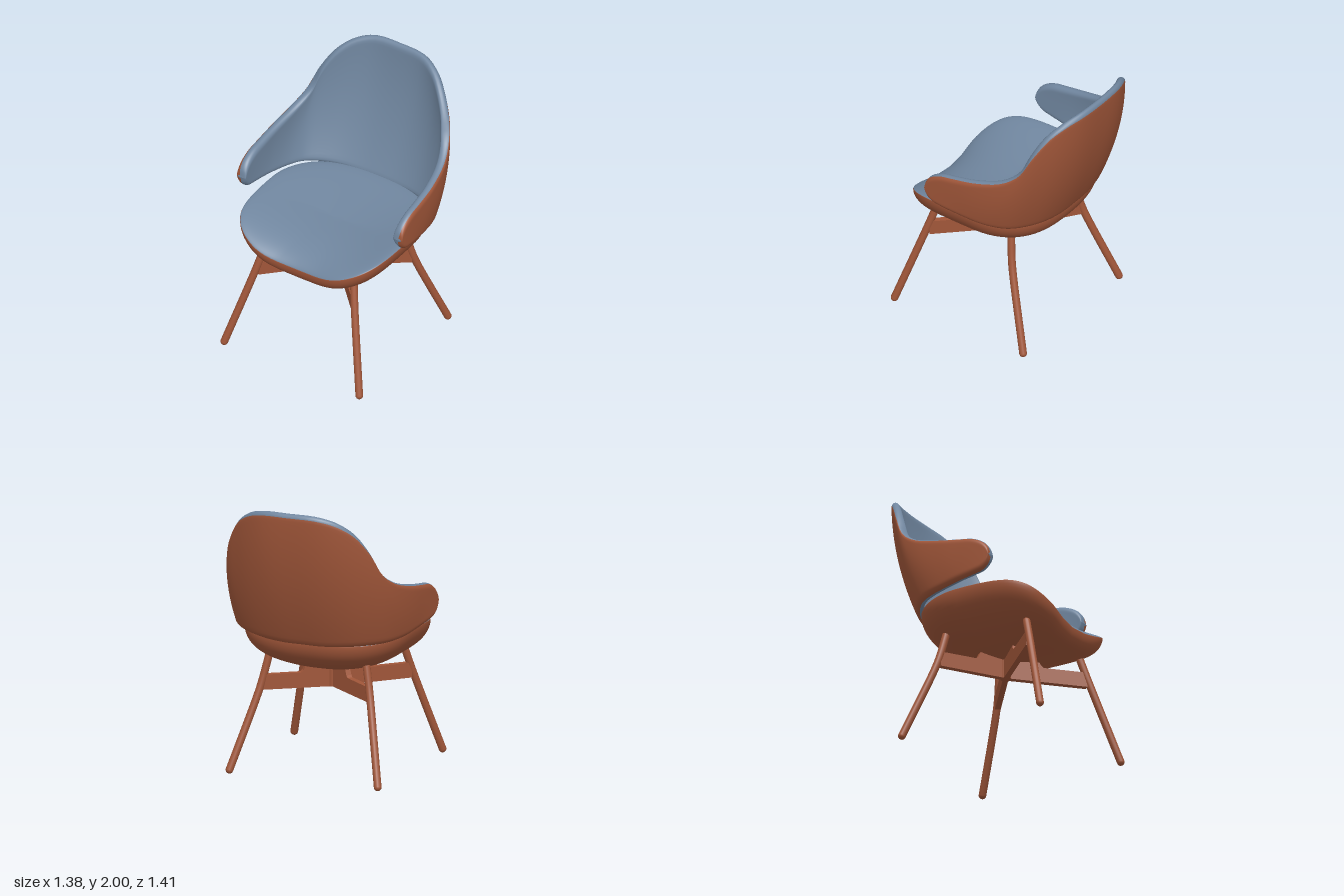
import * as THREE from 'three';
import { mergeVertices } from 'three/addons/utils/BufferGeometryUtils.js';

const fabric = new THREE.MeshStandardMaterial({ color: 0x70869f });
fabric.name = 'blue fabric';
const wood = new THREE.MeshStandardMaterial({ color: 0xa05639 });
wood.name = 'red brown wood';

// Smooth welded surface from a grid of points; isWood(i, k) picks the colour of each cell
function gridMesh(name, nu, nv, point, isWood) {
  const pos = [], woodIdx = [], fabricIdx = [];
  for (let i = 0; i <= nu; i++)
    for (let k = 0; k <= nv; k++) pos.push(...point(i, k).toArray());
  for (let i = 0; i < nu; i++)
    for (let k = 0; k < nv; k++) {
      const a = i * (nv + 1) + k, b = a + nv + 1;
      (isWood(i, k) ? woodIdx : fabricIdx).push(a, a + 1, b, b, a + 1, b + 1);
    }
  let geo = new THREE.BufferGeometry();
  geo.setAttribute('position', new THREE.Float32BufferAttribute(pos, 3));
  geo.setIndex([...woodIdx, ...fabricIdx]);
  geo = mergeVertices(geo, 1e-5);
  geo.clearGroups();
  geo.addGroup(0, woodIdx.length, 0);
  geo.addGroup(woodIdx.length, fabricIdx.length, 1);
  geo.computeVertexNormals();
  const mesh = new THREE.Mesh(geo, [wood, fabric]);
  mesh.name = name;
  return mesh;
}

// Curve given from the centre to the left arm tip, mirrored to the right
function mirroredCurve(half) {
  const left = half.map(p => new THREE.Vector3(...p));
  const right = left.slice(1).reverse().map(p => new THREE.Vector3(-p.x, p.y, p.z));
  return new THREE.CatmullRomCurve3([...right, ...left]);
}

// Wraparound back with arms: a padded sheet between an upper and a lower edge
function makeBackrest() {
  const top = mirroredCurve([
    [0, 1.998, -0.68], [0.2, 1.993, -0.667], [0.33, 1.95, -0.612], [0.435, 1.86, -0.537],
    [0.515, 1.72, -0.467], [0.56, 1.57, -0.4], [0.605, 1.475, -0.28], [0.64, 1.41, -0.08],
    [0.65, 1.375, 0.09], [0.653, 1.352, 0.2], [0.653, 1.31, 0.28], [0.652, 1.26, 0.322], [0.652, 1.2, 0.337]]);
  const bottom = mirroredCurve([
    [0, 0.99, -0.43], [0.15, 0.99, -0.425], [0.3, 1.0, -0.4], [0.42, 1.01, -0.352],
    [0.53, 1.02, -0.27], [0.585, 1.03, -0.17], [0.612, 1.04, -0.08], [0.63, 1.055, 0.02],
    [0.642, 1.068, 0.11], [0.65, 1.08, 0.2], [0.653, 1.1, 0.28], [0.652, 1.145, 0.322], [0.652, 1.2, 0.337]]);
  const nu = 120, n = 28;
  const point = (i, k) => {
    const s = Math.sin((i / nu - 0.5) * Math.PI);
    const u = (s + 1) / 2;
    const outer = k <= n;
    const t = (1 - Math.cos(Math.PI * (outer ? k : 2 * n - k) / n)) / 2;
    const lo = bottom.getPoint(u), hi = top.getPoint(u);
    const u0 = Math.max(u - 0.004, 0), u1 = Math.min(u + 0.004, 1);
    const tangent = bottom.getPoint(u1).sub(bottom.getPoint(u0)).multiplyScalar(1 - t)
      .addScaledVector(top.getPoint(u1).sub(top.getPoint(u0)), t);
    const normal = new THREE.Vector3(tangent.z, 0, -tangent.x).normalize();
    // Rounded rim, thicker towards the arms, with a gentle outward bow across the back
    const q = Math.min(1, Math.min(t, 1 - t) * lo.distanceTo(hi) / 0.04);
    const half = (0.027 + 0.012 * Math.abs(s)) * Math.sqrt(1 - (1 - q) ** 2);
    const bow = 0.22 * t * (1 - t) * (1 - s * s) ** 4;
    return lo.lerp(hi, t).addScaledVector(normal, bow + (outer ? half : -half));
  };
  return gridMesh('backrest', nu, 2 * n, point,
    (i, k) => k >= 1 && k < n - 3 && i >= 8 && i < nu - 8);
}

// Dished cushion with a falling front lip and a rounded wooden underside
function makeSeat() {
  const nu = 96, nv = 40;
  const spow = (v, e) => Math.sign(v) * Math.abs(v) ** e;
  const point = (i, k) => {
    const a = (i % nu) / nu * Math.PI * 2;
    const r = k === nv ? 0 : Math.sin(Math.PI * k / nv);
    const c = Math.cos(a), s = Math.sin(a);
    const e = 0.65 - 0.13 * Math.tanh(s * 4);
    const X = r * spow(c, e), Z = r * spow(s, e);
    const front = Math.max(0, Z), back = Math.max(0, -Z);
    const dip = 0.035 * front ** 3 * Math.max(0, 1 - (X / 0.6) ** 2) ** 2;
    const rim = 0.945 + 0.085 * X * X - 0.105 * front ** 3 * (1 - 0.7 * X * X)
      + 0.055 * back * (1 - 1.3 * X * X);
    const belly = 0.7 * Math.max(0, 1 - r ** 2) ** 0.6 + 0.3 * Math.sqrt(Math.max(0, 1 - r ** 12));
    const y = k <= nv / 2
      ? rim - 0.24 * belly
      : rim + 0.025 * Math.sqrt(Math.max(0, 1 - r ** 10));
    return new THREE.Vector3(0.603 * X, y, 0.1 + 0.55 * Z - dip);
  };
  return gridMesh('seat', nu, nv, point, (i, k) => k < 21);
}

// Round leg through a few points, with domed ends
function makeLeg(name, points) {
  const leg = new THREE.Group();
  leg.name = name;
  const path = new THREE.CatmullRomCurve3(points.map(p => new THREE.Vector3(...p)));
  const radius = 0.027;
  leg.add(new THREE.Mesh(new THREE.TubeGeometry(path, 24, radius, 16), wood));
  for (const u of [0, 1]) {
    const cap = new THREE.Mesh(new THREE.SphereGeometry(radius, 16, 10), wood);
    cap.position.copy(path.getPoint(u));
    leg.add(cap);
  }
  leg.children.forEach(m => { m.name = name; });
  return leg;
}

// Stretcher board from the hub to a leg, stepped up under the seat
function makeStretcher(x, z, hubZ) {
  const dz = z - hubZ, len = Math.hypot(x, dz);
  const shape = new THREE.Shape([
    [0, 0.57], [len, 0.572], [len, 0.68], [len * 0.46, 0.68],
    [len * 0.43, 0.695], [len * 0.39, 0.74], [0, 0.74],
  ].map(p => new THREE.Vector2(...p)));
  const geo = new THREE.ExtrudeGeometry(shape, { depth: 0.04, bevelEnabled: false });
  geo.translate(0, 0, -0.02);
  const board = new THREE.Mesh(geo, wood);
  board.name = 'stretcher';
  board.position.z = hubZ;
  board.rotation.y = Math.atan2(-dz, x);
  return board;
}

export function createModel() {
  const chair = new THREE.Group();
  chair.name = 'armchair';
  chair.add(makeBackrest(), makeSeat());

  // Splayed legs and crossed stretchers
  const hubZ = 0.08;
  for (const side of [1, -1]) {
    const label = side > 0 ? 'Left' : 'Right';
    chair.add(makeLeg('front' + label + 'Leg',
      [[0.563 * side, 0.027, 0.677], [0.415 * side, 0.6, 0.512], [0.375 * side, 0.775, 0.462]]));
    chair.add(makeLeg('back' + label + 'Leg',
      [[0.563 * side, 0.027, -0.428], [0.43 * side, 0.54, -0.245], [0.405 * side, 0.65, -0.215], [0.37 * side, 0.82, -0.185]]));
    chair.add(makeStretcher(0.405 * side, 0.495, hubZ), makeStretcher(0.405 * side, -0.215, hubZ));
  }
  const hub = new THREE.Mesh(new THREE.CylinderGeometry(0.038, 0.038, 0.17, 16), wood);
  hub.name = 'stretcherHub';
  hub.position.set(0, 0.655, hubZ);
  chair.add(hub);
  return chair;
}
